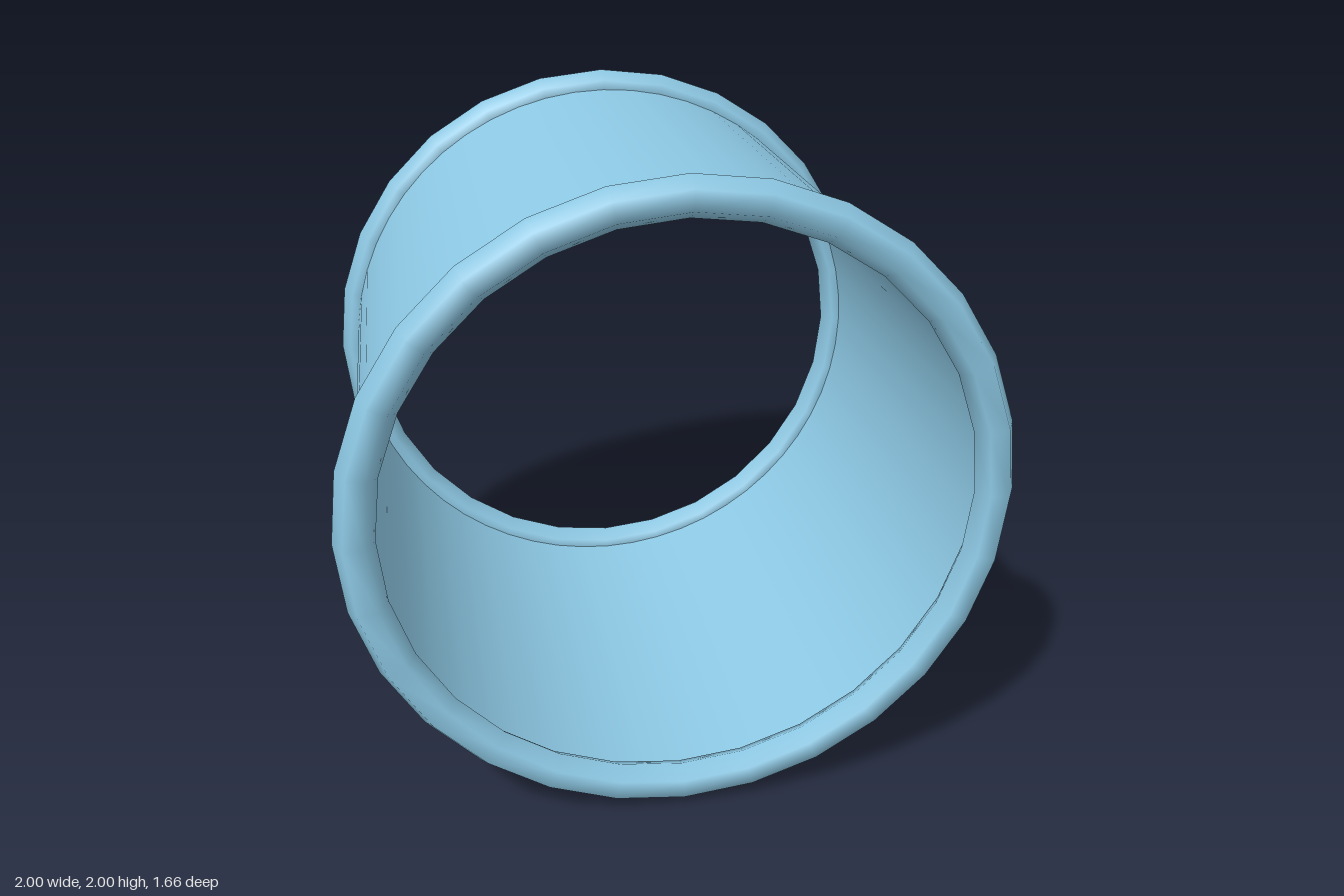
import * as THREE from 'three';

export function createModel() {
  const group = new THREE.Group();
  const paleBlue = new THREE.MeshStandardMaterial({ color: 0x8ecae6, side: THREE.DoubleSide });
  paleBlue.name = 'paleBlue';

  const ringRadius = 0.94, tube = 0.06, halfLength = 0.78;

  // Open sleeve lying along z
  const sleeveGeometry = new THREE.CylinderGeometry(0.937, 0.937, halfLength * 2, 56, 1, true);
  sleeveGeometry.rotateX(Math.PI / 2);
  const sleeve = new THREE.Mesh(sleeveGeometry, paleBlue);
  sleeve.name = 'sleeve';
  sleeve.position.y = 1;
  group.add(sleeve);

  // Rolled rim around each open end
  const rimGeometry = new THREE.TorusGeometry(ringRadius, tube, 6, 28);
  for (const [name, side] of [['frontRim', 1], ['backRim', -1]]) {
    const rim = new THREE.Mesh(rimGeometry, paleBlue);
    rim.name = name;
    rim.position.set(0, 1, side * halfLength);
    group.add(rim);
  }
  return group;
}
